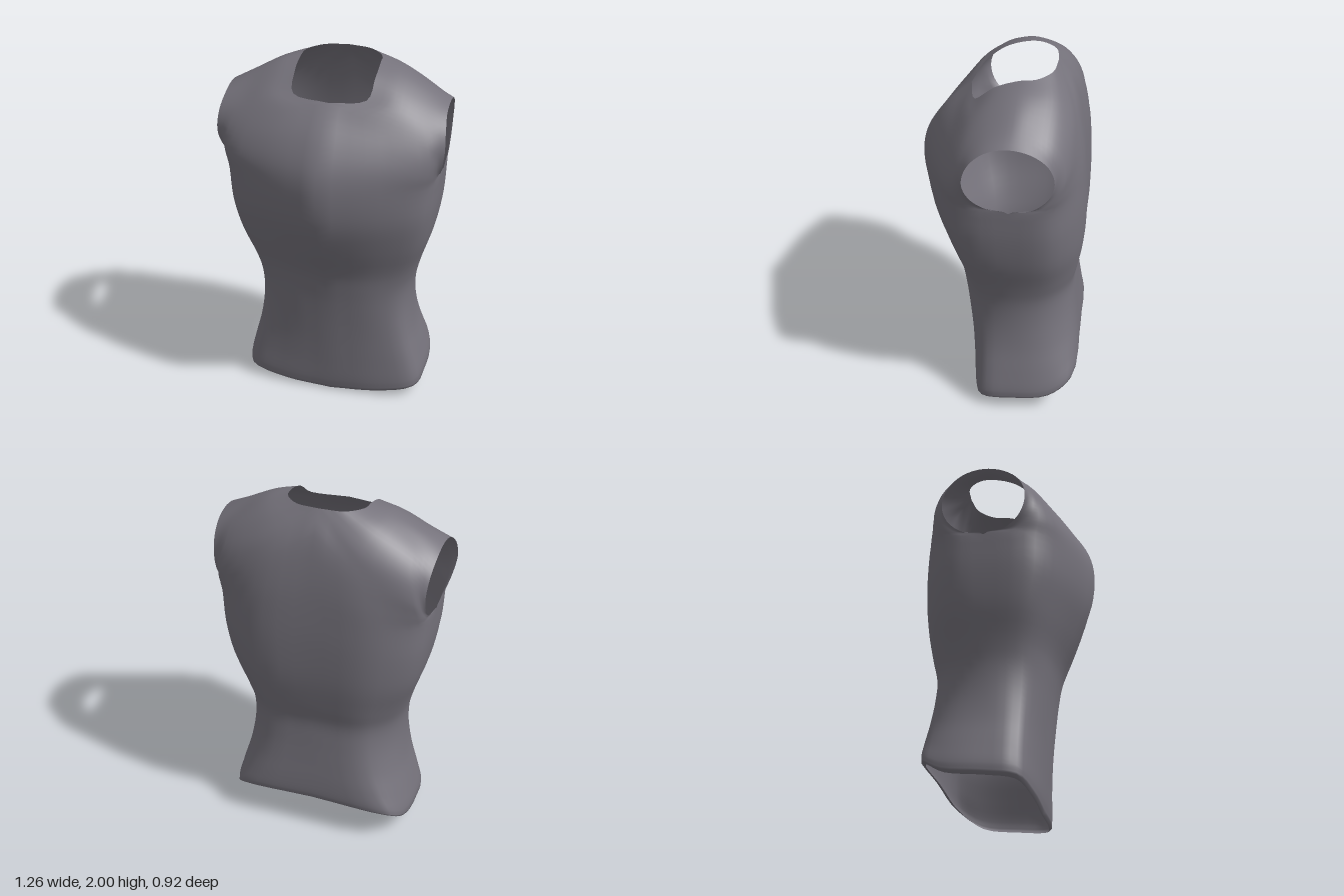
import * as THREE from 'three';
import { mergeVertices } from 'three/addons/utils/BufferGeometryUtils.js';

const STEP = 4; // subdivisions between neighbouring control points

// Smooth samples through a list of points
function smooth(points) {
  const curve = new THREE.CatmullRomCurve3(points);
  return curve.getPoints((points.length - 1) * STEP);
}

// Same, but with sharp corners at the given point indices
function cornered(points, corners) {
  const stops = [0, ...corners, points.length - 1];
  return stops.slice(1).flatMap((end, k) =>
    smooth(points.slice(stops[k], end + 1)).slice(k ? 1 : 0));
}

// Smooth grid through rows of control points; corners fade out from the first column
function loft(rows, corners = []) {
  const across = rows.map(smooth);
  const columns = across[0].map((_, i) => {
    const line = across.map((r) => r[i]);
    const sharp = cornered(line, corners);
    return smooth(line).map((p, j) => p.lerp(sharp[j], Math.max(0, 1 - i / STEP)));
  });
  return columns[0].map((_, j) => columns.map((c) => c[j]));
}

// Adds a grid and its mirror image to a triangle list
function addGrid(out, grid) {
  const put = (p, side) => out.push(side * Math.max(0, p.x), p.y, p.z);
  for (let j = 0; j < grid.length - 1; j++) {
    for (let i = 0; i < grid[0].length - 1; i++) {
      const a = grid[j][i], b = grid[j][i + 1], c = grid[j + 1][i + 1], d = grid[j + 1][i];
      [a, b, c, a, c, d].forEach((p) => put(p, 1));
      [a, c, b, a, d, c].forEach((p) => put(p, -1));
    }
  }
}

// Half cross-section from front centre, round the side, to back centre
function halfRing([y, w, front, back]) {
  const side = -0.07;
  const low = Math.pow((1.41 - y) / 1.41, 3); // 0 at the chest, 1 at the hem
  const waist = Math.exp(-Math.pow((y - 0.65) / 0.3, 2)); // rounder at the waist
  const xs = [0, 0.56, 0.94 - 0.05 * waist, 1, 0.95 + 0.03 * low - 0.04 * waist, 0.58 + 0.26 * low, 0];
  const zs = [1, 0.8 + 0.07 * waist + 0.16 * low, 0.53 + 0.04 * waist + 0.2 * low, 0,
    -0.6 + 0.06 * waist, -0.965 + 0.04 * waist + 0.03 * low, -1];
  const hem = [0, 0.02, 0.05, 0.07, 0.1, 0.18, 0.21];
  return xs.map((x, i) => new THREE.Vector3(
    x * w,
    y + hem[i] * low,
    side + zs[i] * (zs[i] > 0 ? front - side : side - back)
  ));
}

export function createModel() {
  const group = new THREE.Group();
  const triangles = [];

  // Lower body: height, half width, front z, back z
  const rings = [
    [0.015, 0.522, 0.158, -0.437], [0.07, 0.522, 0.168, -0.441], [0.2, 0.495, 0.18, -0.437],
    [0.37, 0.457, 0.195, -0.425], [0.55, 0.44, 0.213, -0.412], [0.7, 0.447, 0.235, -0.405],
    [0.83, 0.478, 0.268, -0.425], [1.02, 0.537, 0.36, -0.447], [1.22, 0.572, 0.44, -0.452],
    [1.41, 0.585, 0.46, -0.445],
  ].map(halfRing);

  // Lines running up the chest, over the shoulder and down the back
  const neckLine = [
    [0, 1.55, 0.432], [0, 1.7, 0.34], [0, 1.84, 0.19], [0.2, 1.855, 0.145], [0.22, 1.94, 0.04],
    [0.22, 1.985, -0.09], [0.21, 1.99, -0.17], [0.13, 1.996, -0.25], [0, 2, -0.27],
    [0, 1.89, -0.355], [0, 1.67, -0.415],
  ];
  const chestLine = [
    [0.32, 1.53, 0.345], [0.31, 1.65, 0.295], [0.27, 1.765, 0.225], [0.34, 1.83, 0.15], [0.34, 1.905, 0.045],
    [0.34, 1.95, -0.085], [0.34, 1.94, -0.185], [0.3, 1.915, -0.285], [0.26, 1.84, -0.36],
    [0.28, 1.72, -0.4], [0.31, 1.56, -0.426],
  ];
  const shoulderLine = [
    [0.555, 1.49, 0.23], [0.56, 1.575, 0.222], [0.54, 1.665, 0.2], [0.5, 1.76, 0.145], [0.49, 1.835, 0.045],
    [0.49, 1.875, -0.08], [0.49, 1.855, -0.175], [0.5, 1.8, -0.275], [0.51, 1.71, -0.337],
    [0.535, 1.59, -0.352], [0.552, 1.49, -0.325],
  ];
  // Round armhole, widest toward the front
  const armLine = neckLine.map((_, k) => {
    const a = ((k + 1) / 12) * Math.PI * 2;
    const s = Math.sin(a) ** 3, lift = (1 - Math.cos(a)) / 2;
    return [0.585 + 0.025 * lift + 0.02 * s + 0.01 * Math.abs(s), 1.61 - 0.2 * Math.cos(a), -0.07 + 0.235 * Math.sin(a)];
  });
  const rows = neckLine.map((_, k) =>
    [neckLine, chestLine, shoulderLine, armLine].map((line) => new THREE.Vector3(...line[k])));

  // Body continues toward the yoke for a smooth join, then is trimmed at the chest
  const above = [...rows[0].slice(0, 3), new THREE.Vector3(0.595, 1.55, -0.07), ...rows[10].slice(0, 3).reverse()];
  const body = loft([...rings, above]).slice(0, -STEP);
  addGrid(triangles, body);

  // Hem turned slightly inward
  const turned = body[0].map((p) => new THREE.Vector3(p.x * 0.97, Math.max(0, p.y - 0.015), -0.07 + (p.z + 0.07) * 0.94));
  addGrid(triangles, [turned, body[0]]);

  // Yoke from chest to back, trimmed and joined exactly to the body
  const [below, top] = rings.slice(-2);
  const front = [below, top].map((r) => r.slice(0, 4));
  const back = [top, below].map((r) => r.slice(3).reverse());
  const yoke = loft([...front, ...rows, ...back], [4, 10]).slice(STEP, -STEP);
  const seam = body[body.length - 1];
  yoke[0] = seam.slice(0, 3 * STEP + 1);
  yoke[yoke.length - 1] = seam.slice(3 * STEP).reverse();
  addGrid(triangles, yoke);

  let geometry = new THREE.BufferGeometry();
  geometry.setAttribute('position', new THREE.Float32BufferAttribute(triangles, 3));
  geometry = mergeVertices(geometry, 1e-4);
  geometry.computeVertexNormals();

  const material = new THREE.MeshStandardMaterial({ color: 0x76737c, side: THREE.DoubleSide });
  const vest = new THREE.Mesh(geometry, material);
  vest.name = 'sleevelessTorsoShell';
  group.add(vest);
  return group;
}
